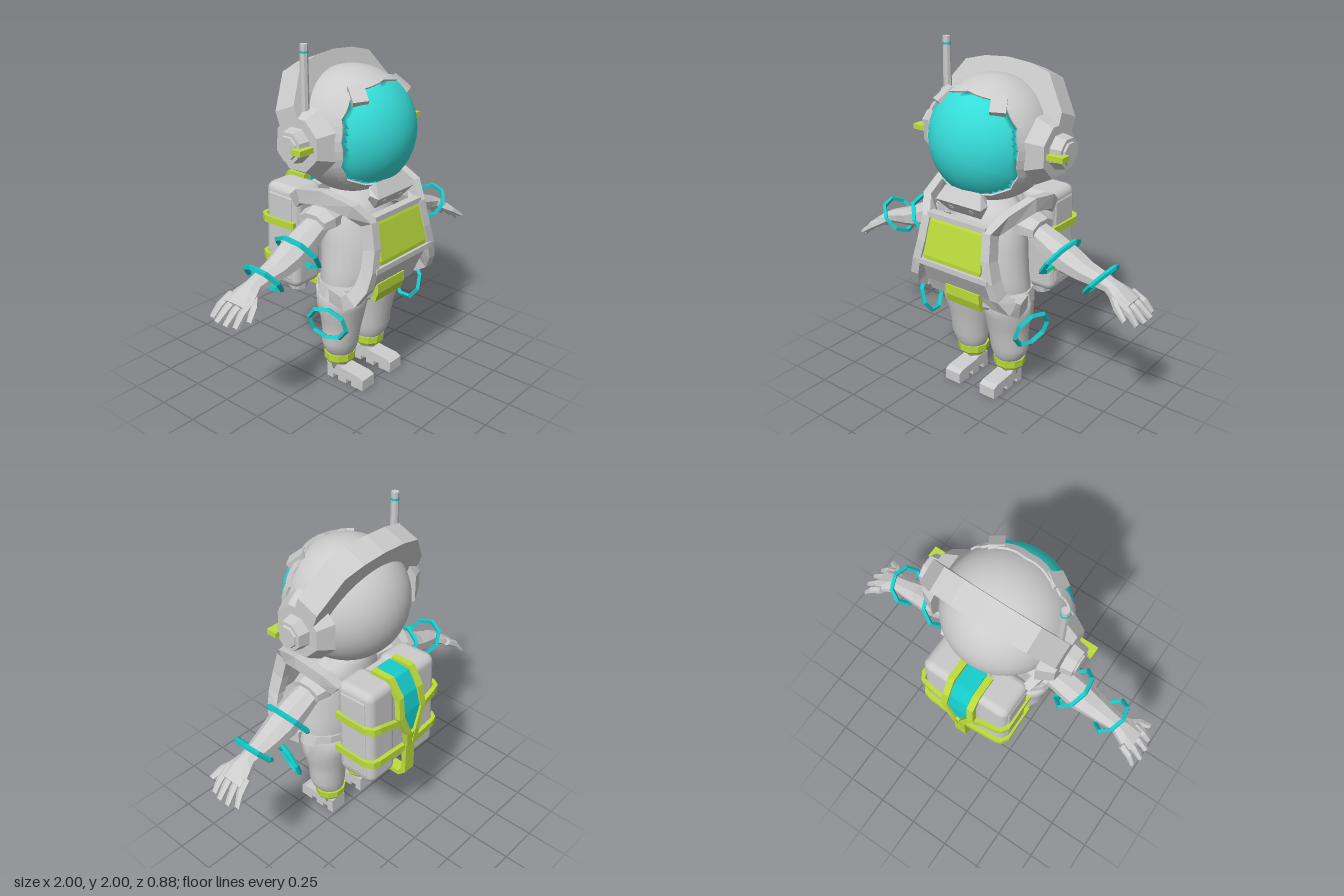
import * as THREE from 'three';
import { RoundedBoxGeometry } from 'three/addons/geometries/RoundedBoxGeometry.js';

const V = (x, y, z) => new THREE.Vector3(x, y, z);
const mat = (color, flatShading = true) => new THREE.MeshStandardMaterial({ color, flatShading });
const grey = mat(0xcccccc), smooth = mat(0xcccccc, false);
const teal = mat(0x16cccc), glass = mat(0x35dcd8, false), lime = mat(0xbddc3c);

// Skin a list of equal-sized loops; closed joins the last loop to the first
function loft(loops, closed = false) {
  const n = loops[0].length, m = loops.length, idx = [];
  const pts = loops.flat();
  for (let i = 0; i < (closed ? m : m - 1); i++)
    for (let j = 0; j < n; j++) {
      const a = i * n + j, b = i * n + (j + 1) % n;
      const c = ((i + 1) % m) * n + j, d = ((i + 1) % m) * n + (j + 1) % n;
      idx.push(a, b, d, a, d, c);
    }
  if (!closed)
    for (let j = 1; j < n - 1; j++) {
      const e = (m - 1) * n;
      idx.push(0, j + 1, j, e, e + j, e + j + 1);
    }
  // turn the faces outward
  let vol = 0;
  for (let i = 0; i < idx.length; i += 3)
    vol += pts[idx[i]].dot(V(0, 0, 0).crossVectors(pts[idx[i + 1]], pts[idx[i + 2]]));
  if (vol < 0) idx.reverse();
  const g = new THREE.BufferGeometry().setFromPoints(pts);
  g.setIndex(idx);
  g.computeVertexNormals();
  return g;
}

// Flat strap along points [x, y, z, width?], its width lying along dir
function strap(path, width, thick, dir) {
  const p = path.map(q => V(q[0], q[1], q[2]));
  return loft(p.map((c, i) => {
    const t = p[Math.min(i + 1, p.length - 1)].clone().sub(p[Math.max(i - 1, 0)]);
    const n = t.cross(dir).normalize().multiplyScalar(thick / 2);
    const w = dir.clone().multiplyScalar((path[i][3] ?? width) / 2);
    return [[1, 1], [1, -1], [-1, -1], [-1, 1]].map(([a, b]) =>
      c.clone().addScaledVector(w, a).addScaledVector(n, b));
  }));
}

// Horizontal ellipses [y, x, z, rx, rz] skinned upward
const stack = (rows, n) => loft(rows.map(([y, x, z, rx, rz]) =>
  Array.from({ length: n }, (_, j) => {
    const a = (j / n) * Math.PI * 2;
    return V(x + rx * Math.cos(a), y, z + rz * Math.sin(a));
  })));

// Limb running sideways: [x, y, z, ry, rz], sections leaning by tilt
const limb = (rows, s, tilt, n = 8) => loft(rows.map(([x, y, z, ry, rz]) =>
  Array.from({ length: n }, (_, j) => {
    const a = ((j + 0.5) / n) * Math.PI * 2, h = ry * Math.sin(a);
    return V(s * (x + h * tilt), y + h, z + rz * Math.cos(a));
  })));

export function createModel() {
  const root = new THREE.Group();
  const add = (name, geo, m = grey, x = 0, y = 0, z = 0) => {
    const o = new THREE.Mesh(geo, m);
    o.name = name;
    o.position.set(x, y, z);
    root.add(o);
    return o;
  };
  const box = (w, h, d) => new THREE.BoxGeometry(w, h, d);
  const X = V(1, 0, 0), Y = V(0, 1, 0);

  // Helmet and visor
  add('helmet', new THREE.SphereGeometry(0.348, 40, 28), smooth, 0, 1.5, 0.05);
  const half = [[0, 0.285], [0.14, 0.26], [0.22, 0.215], [0.28, 0.13], [0.3, 0.02],
    [0.285, -0.12], [0.24, -0.195], [0.15, -0.235], [0, -0.245]];
  const corners = [...half, ...half.slice(1, -1).reverse().map(([x, y]) => [-x, y])];
  const edge = corners.flatMap(([x, y], i) => {
    const [u, v] = corners[(i + 1) % corners.length];
    return [0, 1, 2].map(k => [x + (u - x) * k / 3, y + (v - y) * k / 3]);
  });
  const onSphere = (r, ang, phi) => V(r * Math.sin(ang) * Math.cos(phi),
    r * Math.sin(ang) * Math.sin(phi), r * Math.cos(ang));
  const polar = edge.map(([x, y]) => [Math.asin(Math.hypot(x, y) / 0.35), Math.atan2(y, x)]);
  add('visor', loft(Array.from({ length: 13 }, (_, i) =>
    polar.map(([a, f]) => onSphere(0.353, a * Math.max(i / 12, 0.001), f)))), glass, 0, 1.5, 0.05);
  add('visorRim', loft(polar.map(([a, f]) => [[0.335, -0.01], [0.362, 0], [0.36, 0.13], [0.335, 0.14]]
    .map(([r, d]) => onSphere(r, a + d, f))), true), grey, 0, 1.5, 0.05);
  add('chinGuard', strap([[0, 1.255, 0.29, 0.24], [0, 1.2, 0.33, 0.31], [0, 1.14, 0.275, 0.22]], 0.3, 0.06, X));

  // Headband arching over the helmet, its inner side sunk into it
  const out = [[0.41, 0], [0.41, 0.2], [0.28, 0.39], [0.15, 0.425], [0, 0.437]];
  const inn = [[0.3, 0], [0.3, 0.12], [0.21, 0.25], [0.11, 0.3], [0, 0.31]];
  const arc = h => [...h, ...h.slice(0, -1).reverse().map(([x, y]) => [-x, y])];
  const band = new THREE.Shape([...arc(out), ...arc(inn).reverse()].map(p => new THREE.Vector2(...p)));
  const bandGeo = new THREE.ExtrudeGeometry(band, { depth: 0.14, bevelEnabled: false });
  bandGeo.translate(0, 0, -0.07);
  add('headband', bandGeo, grey, 0, 1.48, 0.01).rotation.x = -0.37;

  // Antenna
  add('antenna', new THREE.CylinderGeometry(0.021, 0.025, 0.34, 8), grey, -0.345, 1.83, 0.02);
  add('antennaRing', new THREE.CylinderGeometry(0.024, 0.024, 0.012, 8), teal, -0.345, 1.96, 0.02);

  // Torso, hip band and chest plate
  add('torso', stack([[0.5, 0, 0.1, 0.14, 0.08], [0.55, 0, 0.11, 0.27, 0.155], [0.62, 0, 0.12, 0.3, 0.18],
    [0.75, 0, 0.125, 0.27, 0.2], [0.9, 0, 0.11, 0.25, 0.2], [1.05, 0, 0.09, 0.23, 0.18],
    [1.12, 0, 0.07, 0.18, 0.15], [1.17, 0, 0.05, 0.12, 0.11]], 24), smooth);
  add('hipBand', stack([[0.6, 0, 0.12, 0.315, 0.19], [0.67, 0, 0.12, 0.3, 0.195]], 16));
  add('chestPlate', strap([[0, 1.1, 0.335, 0.36], [0, 0.84, 0.385, 0.47], [0, 0.68, 0.295, 0.53],
    [0, 0.6, 0.26, 0.54]], 0.4, 0.06, X));
  add('plateTopBar', strap([[-0.2, 1.1, 0.355], [0.2, 1.1, 0.355]], 0.03, 0.05, Y));
  add('plateBottomBar', strap([[-0.25, 0.828, 0.4], [0.25, 0.828, 0.4]], 0.03, 0.06, Y));
  add('plateBelt', strap([[-0.3, 0.635, 0.18], [-0.24, 0.635, 0.25], [-0.1, 0.635, 0.285],
    [0.1, 0.635, 0.285], [0.24, 0.635, 0.25], [0.3, 0.635, 0.18]], 0.075, 0.05, Y));
  add('chestScreen', strap([[0, 1.08, 0.36, 0.34], [0, 1.065, 0.367, 0.365], [0, 0.87, 0.409, 0.405],
    [0, 0.852, 0.408, 0.385]], 0.4, 0.03, X), lime);
  add('buckle', strap([[0, 0.68, 0.318], [0, 0.625, 0.318], [0, 0.575, 0.3]], 0.24, 0.04, X), lime);

  // Backpack core, centre strip and stem
  add('packCore', box(0.2, 0.54, 0.22), grey, 0, 0.87, -0.25);
  add('packStrip', strap([[0, 1.165, -0.21, 0.12], [0, 1.16, -0.34, 0.12], [0, 1.07, -0.39, 0.13],
    [0, 0.97, -0.41, 0.15], [0, 0.83, -0.415, 0.04]], 0.1, 0.03, X), teal);
  add('packStem', strap([[0, 0.82, -0.43], [0, 0.72, -0.415], [0, 0.53, -0.415], [0, 0.495, -0.38],
    [0, 0.495, -0.13], [0, 0.53, -0.105], [0, 0.6, -0.105]], 0.075, 0.03, X), lime);

  for (const s of [1, -1]) {
    const side = s > 0 ? 'left' : 'right';
    const ring = (name, r, x, y, z, axis) =>
      add(side + name, new THREE.TorusGeometry(r, 0.015, 4, 8), teal, s * x, y, z)
        .quaternion.setFromUnitVectors(V(0, 0, 1), V(s * axis[0], axis[1], axis[2]).normalize());
    const sx = path => path.map(([x, ...r]) => [s * x, ...r]);

    // Ear discs and knob
    for (const [r1, r2, x, h] of [[0.2, 0.15, 0.365, 0.09], [0.1, 0.085, 0.435, 0.08], [0.07, 0.06, 0.475, 0.02]]) {
      const g = new THREE.CylinderGeometry(r2, r1, h, 8);
      g.rotateY(Math.PI / 8);
      add(side + 'EarDisc', g, grey, s * x, 1.49, 0.02).rotation.z = -s * Math.PI / 2;
    }
    add(side + 'EarKnob', box(0.1, 0.03, 0.065), lime, s * 0.46, 1.485, 0.105);

    // Clips over the visor and chin vents
    const clip = add(side + 'VisorClip', box(0.085, 0.035, 0.11), grey, s * 0.18, 1.74, 0.235);
    clip.rotation.set(0.75, s * 0.4, -s * 0.42);
    const vent = add(side + 'ChinVent', new THREE.TorusGeometry(0.016, 0.007, 4, 8), grey, s * 0.07, 1.165, 0.328);
    vent.rotation.x = 0.75;

    // Harness from pack over the shoulder, along the plate and round the hip
    add(side + 'Harness', strap(sx([[0.27, 1.11, -0.13], [0.3, 1.165, -0.06], [0.315, 1.2, 0.12], [0.27, 1.15, 0.28],
      [0.21, 1.075, 0.345], [0.225, 0.94, 0.375], [0.255, 0.83, 0.385], [0.285, 0.74, 0.375],
      [0.325, 0.67, 0.335], [0.33, 0.635, 0.28], [0.29, 0.63, 0.15]]), 0.055, 0.08, X));

    // Arm, cuff and hand
    add(side + 'Shoulder', limb([[0.16, 1.05, 0.05, 0.06, 0.1], [0.27, 1.05, 0.05, 0.07, 0.12],
      [0.34, 1.04, 0.05, 0.055, 0.1]], s, 0.1));
    add(side + 'Arm', limb([[0.28, 1.04, 0.055, 0.045, 0.08], [0.42, 0.965, 0.06, 0.066, 0.092],
      [0.52, 0.91, 0.06, 0.074, 0.095], [0.62, 0.875, 0.06, 0.056, 0.08], [0.72, 0.85, 0.055, 0.045, 0.062],
      [0.78, 0.835, 0.055, 0.038, 0.055], [0.83, 0.81, 0.055, 0.036, 0.078], [0.91, 0.765, 0.05, 0.026, 0.1]], s, 0.45));
    const fingers = [[-0.025, -0.06, 0.98], [0.025, -0.005, 1], [0.072, 0.058, 1], [0.118, 0.115, 0.985]];
    for (const [z0, z1, tip] of fingers)
      add(side + 'Finger', limb([[0.86, 0.795, z0, 0.022, 0.026], [0.93, 0.75, (z0 + z1) / 2, 0.02, 0.025],
        [tip - 0.006, 0.69, z1, 0.012, 0.018]], s, 0.5, 6));
    add(side + 'Thumb', limb([[0.81, 0.815, 0.09, 0.022, 0.03], [0.87, 0.78, 0.145, 0.02, 0.027],
      [0.94, 0.73, 0.178, 0.012, 0.018]], s, 0.5, 6));
    ring('ElbowRing', 0.135, 0.465, 0.915, 0.065, [0.8, -0.6, 0]);
    ring('WristRing', 0.112, 0.725, 0.86, 0.065, [0.77, -0.64, 0]);
    ring('ThighRing', 0.112, 0.37, 0.488, 0.185, [0.92, -0.29, 0.27]);

    // Leg, ankle cuff and boot
    add(side + 'Leg', stack([[0.62, 0.145, 0.11, 0.155, 0.16], [0.5, 0.148, 0.1, 0.147, 0.14],
      [0.42, 0.142, 0.097, 0.13, 0.122], [0.34, 0.144, 0.093, 0.118, 0.108], [0.27, 0.147, 0.089, 0.118, 0.103],
      [0.22, 0.143, 0.084, 0.106, 0.094], [0.19, 0.138, 0.08, 0.088, 0.085], [0.13, 0.134, 0.07, 0.058, 0.055],
      [0.06, 0.132, 0.065, 0.052, 0.05]].map(([y, x, ...r]) => [y, s * x, ...r]), 18), smooth);
    add(side + 'AnkleCuff', stack([[0.125, s * 0.137, 0.075, 0.085, 0.08], [0.14, s * 0.137, 0.075, 0.095, 0.09],
      [0.185, s * 0.137, 0.075, 0.098, 0.092]], 10), lime);
    const sole = [[0.015, 0], [0.06, 0], [0.06, 0.03], [0.1, 0.03], [0.1, 0], [0.16, 0], [0.16, 0.03], [0.2, 0.03],
      [0.2, 0], [0.285, 0], [0.285, 0.065], [0.25, 0.08], [0.12, 0.09], [0.11, 0.1], [0.015, 0.1]];
    const boot = new THREE.ExtrudeGeometry(new THREE.Shape(sole.map(p => new THREE.Vector2(...p))),
      { depth: 0.108, bevelEnabled: false });
    boot.rotateY(-Math.PI / 2);
    add(side + 'Boot', boot, grey, s * 0.13 + 0.054, 0, 0);

    // Backpack half with side panel, nozzle and belts
    add(side + 'PackHalf', new RoundedBoxGeometry(0.22, 0.62, 0.255, 2, 0.05), smooth, s * 0.17, 0.86, -0.248)
      .rotation.x = 0.035;
    add(side + 'PackPanel', new RoundedBoxGeometry(0.03, 0.52, 0.18, 1, 0.012), grey, s * 0.27, 0.86, -0.25)
      .rotation.x = 0.035;
    add(side + 'Nozzle', new THREE.CylinderGeometry(0.07, 0.055, 0.08, 8), grey, s * 0.14, 0.53, -0.25);
    add(side + 'NozzleGlow', new THREE.CylinderGeometry(0.045, 0.045, 0.006, 8), teal, s * 0.14, 0.488, -0.25);
    for (const [y, x, yIn] of [[0.95, 0.08, 0.92], [0.715, 0, 0.715]])
      add(side + 'PackBelt', strap(sx([[0.285, y, -0.13], [0.288, y, -0.35], [0.265, y, -0.385],
        [0.23, y, -0.395], [x, yIn, -0.41]]), 0.042, 0.025, Y), lime);
    add(side + 'PackStrap', strap(sx([[0.085, 1.175, -0.22], [0.085, 1.175, -0.34], [0.08, 1.08, -0.4],
      [0.09, 0.96, -0.42], [0.035, 0.83, -0.43], [0.02, 0.74, -0.425]]), 0.04, 0.035, X), lime);
  }
  return root;
}
